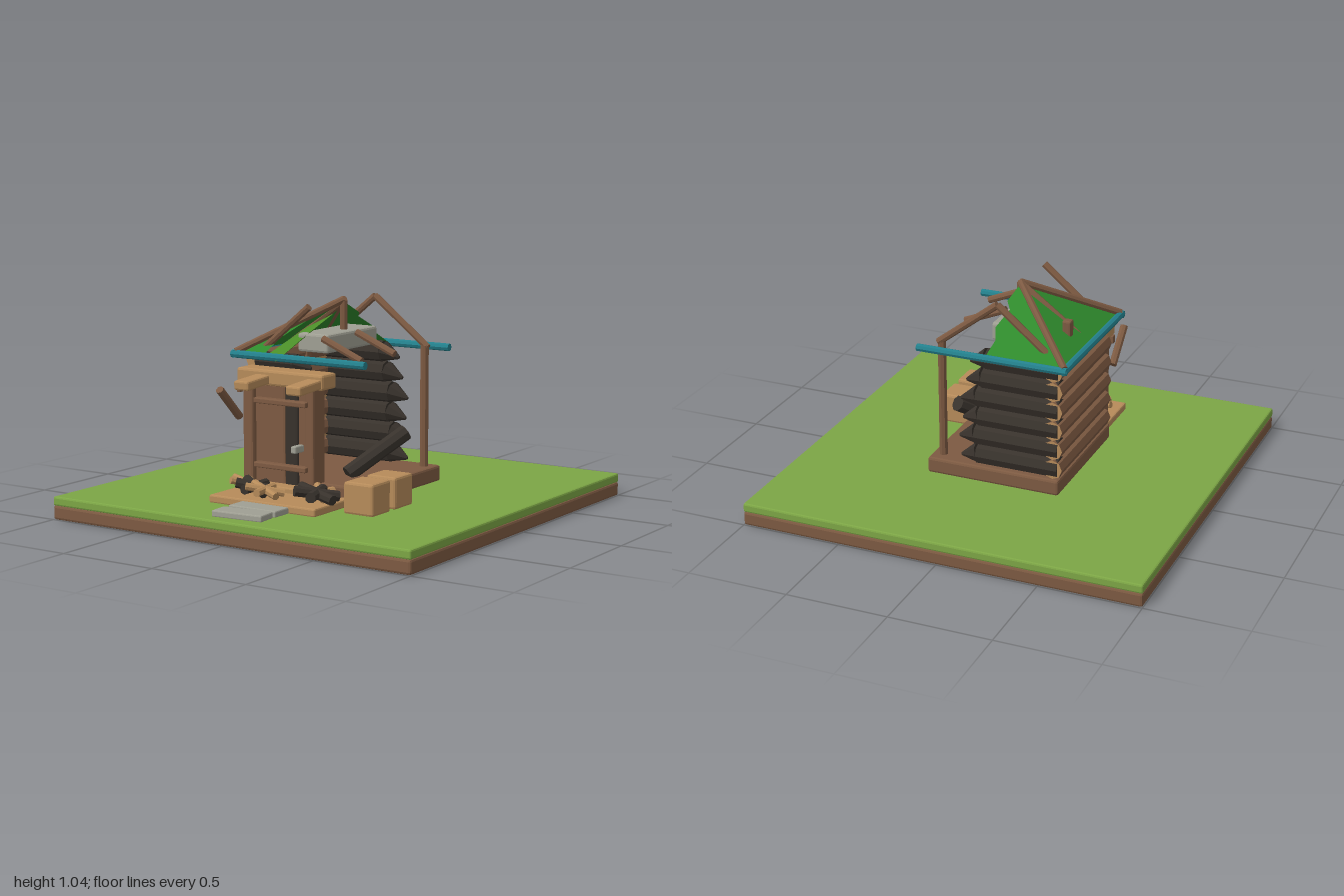
import * as THREE from 'three';
import { RoundedBoxGeometry } from 'three/addons/geometries/RoundedBoxGeometry.js';

const mat = (name, color, extra = {}) => {
  const m = new THREE.MeshStandardMaterial({ color, flatShading: true, ...extra });
  m.name = name;
  return m;
};

export function createModel() {
  const grass = mat('grass', 0x7ca545);
  const brown = mat('brown wood', 0x7d5a42);
  const tan = mat('tan wood', 0xb68b5a);
  const char = mat('charred wood', 0x38322c);
  const stone = mat('grey stone', 0x9f9f93);
  const teal = mat('teal beam', 0x23808c);
  const roofGreen = mat('roof green', 0x2f8a2c, { side: THREE.DoubleSide });
  const scrapGreen = mat('light roof green', 0x4a8d28, { side: THREE.DoubleSide });

  const model = new THREE.Group();
  const add = (name, geo, material, parent = model) => {
    const mesh = new THREE.Mesh(geo, material);
    mesh.name = name;
    parent.add(mesh);
    return mesh;
  };
  const group = (name) => {
    const g = new THREE.Group();
    g.name = name;
    model.add(g);
    return g;
  };
  // Bevelled box given by its min and max corners
  const box = (name, material, [x0, y0, z0], [x1, y1, z1], parent) => {
    const s = [x1 - x0, y1 - y0, z1 - z0];
    const mesh = add(name, new RoundedBoxGeometry(...s, 1, Math.min(0.012, Math.min(...s) * 0.2)), material, parent);
    mesh.position.set((x0 + x1) / 2, (y0 + y1) / 2, (z0 + z1) / 2);
    return mesh;
  };
  // Faceted log between two points
  const log = (name, material, a, b, r, parent, r2 = r) => {
    const A = new THREE.Vector3(...a), B = new THREE.Vector3(...b);
    const d = B.clone().sub(A);
    const mesh = add(name, new THREE.CylinderGeometry(r2, r, d.length(), 8), material, parent);
    mesh.position.copy(A).add(B).multiplyScalar(0.5);
    mesh.quaternion.setFromUnitVectors(new THREE.Vector3(0, 1, 0), d.normalize());
    return mesh;
  };
  // Flat sheet made as a fan of corner points
  const sheet = (name, material, pts, parent) => {
    const tri = [];
    for (let i = 1; i < pts.length - 1; i++) tri.push(...pts[0], ...pts[i], ...pts[i + 1]);
    const geo = new THREE.BufferGeometry();
    geo.setAttribute('position', new THREE.Float32BufferAttribute(tri, 3));
    geo.computeVertexNormals();
    add(name, geo, material, parent);
  };

  // Ground slab and cabin floor
  box('soil', brown, [-1, 0, -1], [1, 0.07, 1]);
  box('grass', grass, [-1, 0.068, -1], [1, 0.113, 1]);
  box('cabinFloor', brown, [-0.34, 0.11, -0.355], [0.34, 0.19, 0.35]);

  // Log walls: sound side wall, charred and broken back and front walls
  const walls = group('walls');
  box('wallFilling', tan, [-0.32, 0.19, -0.3], [-0.292, 0.77, 0.3], walls);
  for (let i = 0; i < 6; i++) {
    const y = 0.24 + 0.1 * i;
    log('sideLog', [brown, tan, tan], [-0.305, y, -0.34], [-0.305, y, 0.315], 0.049, walls);
    const tip = [0.18, 0.19, 0.17, 0.18, 0.15, 0.13][i];
    log('backLog', char, [-0.33, y, -0.3], [tip - 0.09, y, -0.3], 0.054, walls);
    log('brokenLogTip', char, [tip - 0.09, y, -0.3], [tip, y - 0.025, -0.3], 0.054, walls, 0.008);
    log('frontLog', char, [-0.3, y, 0.28], [-0.08, y, 0.28], 0.045, walls);
    log('frontLogTip', char, [-0.08, y, 0.28], [0, y - 0.02, 0.28], 0.045, walls, 0.008);
  }
  log('cornerPost', brown, [0.285, 0.19, -0.285], [0.285, 0.79, -0.285], 0.021, walls);

  // Doorway with boards, rails and handle
  const door = group('door');
  box('leftJamb', brown, [-0.31, 0.12, 0.31], [-0.25, 0.65, 0.41], door);
  box('rightJamb', brown, [0.05, 0.12, 0.31], [0.1, 0.65, 0.41], door);
  box('doorBoard', brown, [-0.25, 0.12, 0.33], [-0.075, 0.65, 0.39], door);
  box('charredBoard', char, [-0.075, 0.12, 0.33], [0, 0.65, 0.395], door);
  box('doorBoard', brown, [0, 0.12, 0.33], [0.05, 0.65, 0.39], door);
  for (const y of [0.26, 0.57]) box('doorRail', brown, [-0.23, y - 0.013, 0.39], [0.07, y + 0.013, 0.435], door);
  box('doorHandle', stone, [0.005, 0.34, 0.39], [0.035, 0.375, 0.462], door);

  // Porch lintel, brackets and brace
  const porch = group('porch');
  box('lintel', tan, [-0.33, 0.645, 0.31], [0.165, 0.72, 0.43], porch);
  for (const x of [-0.18, 0.115]) {
    box('bracket', tan, [x - 0.042, 0.65, 0.32], [x + 0.042, 0.695, 0.6], porch).rotation.x = 0.07;
  }
  log('brace', brown, [-0.325, 0.48, 0.415], [-0.325, 0.63, 0.57], 0.02, porch);
  box('porchRail', brown, [-0.33, 0.6, 0.4], [-0.31, 0.64, 0.43], porch);
  box('porchDeck', tan, [-0.3, 0.11, 0.4], [0.3, 0.15, 0.695], porch);
  box('doorStep', tan, [-0.26, 0.14, 0.38], [0.22, 0.175, 0.47], porch);

  // Eaves beams
  const roof = group('roof');
  for (const z of [-0.38, 0.38]) log('eavesBeam', teal, [-0.39, 0.775, z], [0.37, 0.775, z], 0.019, roof);
  log('sideEavesBeam', teal, [-0.375, 0.775, -0.39], [-0.375, 0.775, 0.39], 0.019, roof);

  // Rafters
  for (const z of [-0.29, 0.29]) {
    log('hipRafter', brown, [-0.375, 0.785, z * 1.29], [0, 1.025, 0], 0.018, roof);
    log('rafter', brown, [-0.29, 0.78, z], [-0.005, 1.015, z], 0.018, roof);
  }
  log('rafter', brown, [0.3, 0.78, -0.29], [-0.005, 1.015, -0.29], 0.018, roof);
  log('middleRafter', brown, [-0.3, 0.8, 0], [0, 1.02, 0], 0.018, roof);
  for (const z of [0, 0.29]) log('brokenRafter', brown, [0.29, 0.78, z], [0.075, 0.87, z], 0.018, roof);
  log('kingPost', brown, [0, 0.78, 0], [0, 1.02, 0], 0.018, roof);

  // Torn roof sheets
  const apex = [0, 1.015, 0];
  sheet('sideRoof', roofGreen, [apex, [-0.385, 0.765, -0.385], [-0.385, 0.765, 0.385]], roof);
  sheet('backRoof', roofGreen, [[-0.385, 0.765, -0.385], apex, [0.03, 0.955, -0.09], [0, 0.93, -0.13],
    [0.035, 0.87, -0.22], [0.01, 0.83, -0.28], [0.03, 0.765, -0.385]], roof);
  sheet('frontRoofScrap', roofGreen, [[-0.385, 0.765, 0.385], [-0.22, 0.77, 0.38], [-0.2, 0.85, 0.25], [-0.1, 0.95, 0.1]], roof);
  sheet('looseRoofScrap', scrapGreen, [[-0.02, 0.96, 0.06], [-0.1, 0.9, 0.17], [-0.19, 0.79, 0.35],
    [-0.12, 0.76, 0.4], [-0.05, 0.88, 0.23]], roof);
  box('loftSlab', stone, [-0.11, 0.79, -0.2], [0.065, 0.88, 0.235], roof);
  box('fallenBeam', brown, [-0.295, 0.53, -0.095], [-0.25, 0.9, -0.05], roof);

  // Charred beam leaning inside
  log('leaningBeam', char, [0.115, 0.2, 0.14], [0.285, 0.385, -0.115], 0.04);

  // Crates and stepping stones
  for (const z of [0.2, 0.395]) box('crate', tan, [0.36, 0.11, z], [0.52, 0.262, z + 0.155]);
  box('steppingStone', stone, [-0.11, 0.11, 0.69], [0.155, 0.142, 0.8]);
  box('steppingStone', stone, [-0.11, 0.11, 0.82], [0.155, 0.142, 0.925]).rotation.y = 0.08;

  // Crossed heaps of broken sticks
  const heap = (name, material, x, y, z, len, r, turn) => {
    const g = group(name);
    for (let i = 0; i < 3; i++) {
      const a = turn + i * Math.PI / 3, c = Math.cos(a) * len, s = Math.sin(a) * len, t = 0.018 * (i - 1);
      log('stick', material, [x - c, y - t, z - s], [x + c, y + t, z + s], r, g);
    }
  };
  heap('charredHeapRight', char, 0.285, 0.215, 0.655, 0.105, 0.025, 0.2);
  heap('charredHeapLeft', char, -0.1, 0.195, 0.6, 0.09, 0.024, 0.5);
  heap('tanHeap', tan, -0.005, 0.2, 0.655, 0.09, 0.018, 0.35);
  heap('tanHeapRight', tan, 0.22, 0.19, 0.53, 0.08, 0.018, 0.8);
  heap('tanHeapLeft', tan, -0.2, 0.19, 0.53, 0.08, 0.018, 0.1);
  return model;
}
